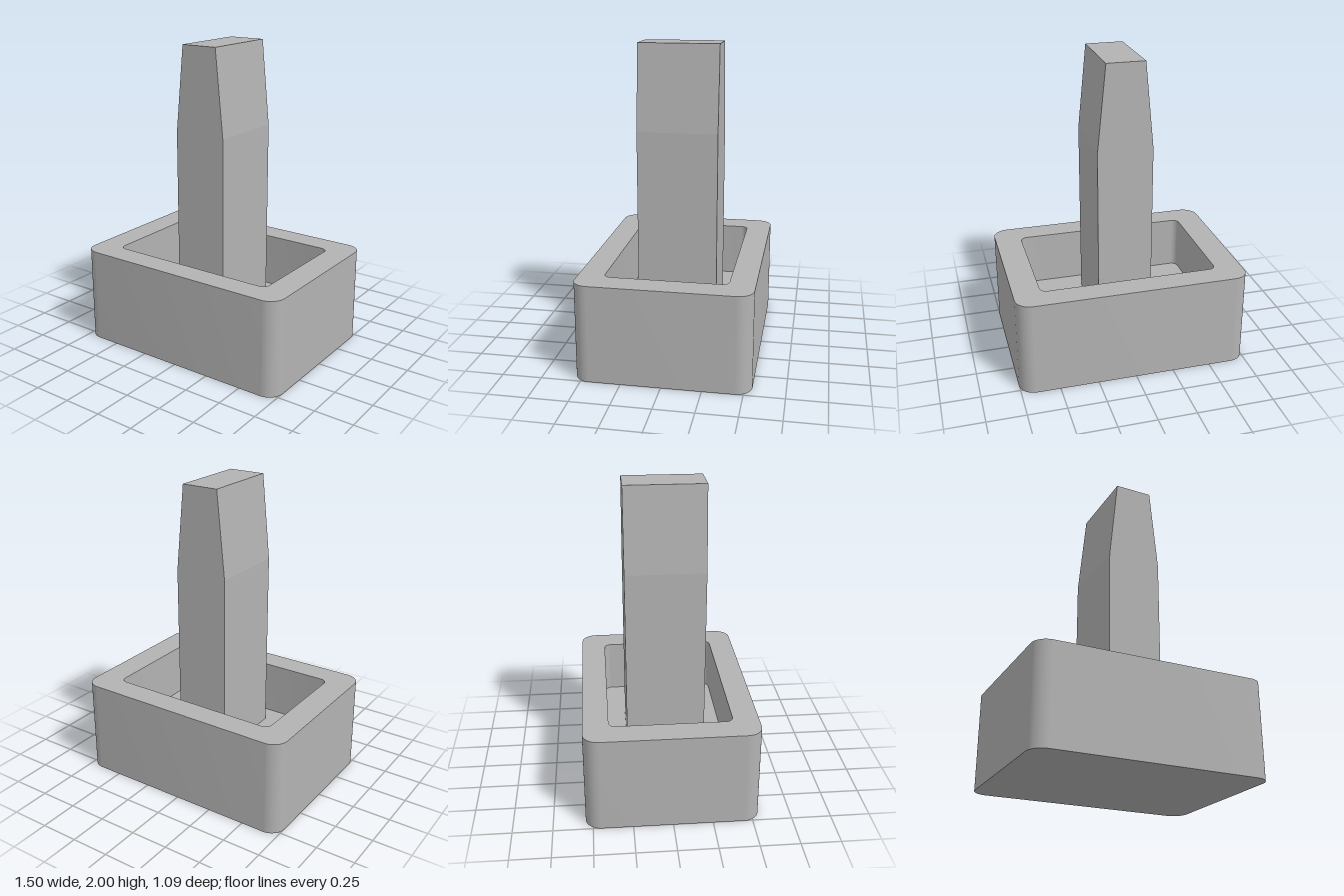
import * as THREE from 'three';
import { toCreasedNormals } from 'three/addons/utils/BufferGeometryUtils.js';

// Rounded rectangle outline centred on the origin
function roundedRect(target, halfW, halfD, r) {
  target.moveTo(halfW, -halfD + r);
  target.absarc(halfW - r, halfD - r, r, 0, Math.PI / 2);
  target.absarc(-halfW + r, halfD - r, r, Math.PI / 2, Math.PI);
  target.absarc(-halfW + r, -halfD + r, r, Math.PI, Math.PI * 1.5);
  target.absarc(halfW - r, -halfD + r, r, Math.PI * 1.5, Math.PI * 2);
  return target;
}

// Extrude an outline upwards from y = 0
function extrudeUp(shape, height) {
  const geometry = new THREE.ExtrudeGeometry(shape, { depth: height, bevelEnabled: false, curveSegments: 12 });
  geometry.rotateX(-Math.PI / 2);
  return toCreasedNormals(geometry, Math.PI / 6);
}

export function createModel() {
  const model = new THREE.Group();
  const grey = new THREE.MeshStandardMaterial({ color: 0xb3b3b3 });
  grey.name = 'plain grey';

  const add = (name, geometry) => {
    const mesh = new THREE.Mesh(geometry, grey);
    mesh.name = name;
    model.add(mesh);
    return mesh;
  };

  const height = 0.625, floorY = 0.27;
  const inner = [0.578, 0.385, 0.045];

  // Hollow tray: rounded walls around a recessed floor
  const wall = roundedRect(new THREE.Shape(), 0.752, 0.547, 0.1);
  wall.holes.push(roundedRect(new THREE.Path(), ...inner));
  add('trayWall', extrudeUp(wall, height));
  add('trayFloor', extrudeUp(roundedRect(new THREE.Shape(), ...inner), floorY));

  // Upright post with a tapered top, standing on the tray floor
  const halfDepth = 0.258;
  const profile = new THREE.Shape([
    [-0.177, floorY], [0.177, floorY], [0.177, 1.45],
    [0.122, 2], [-0.122, 2], [-0.177, 1.45],
  ].map(([x, y]) => new THREE.Vector2(x, y)));
  const post = new THREE.ExtrudeGeometry(profile, { depth: halfDepth * 2, bevelEnabled: false });
  post.translate(0, 0, -halfDepth);
  add('post', post);

  return model;
}
